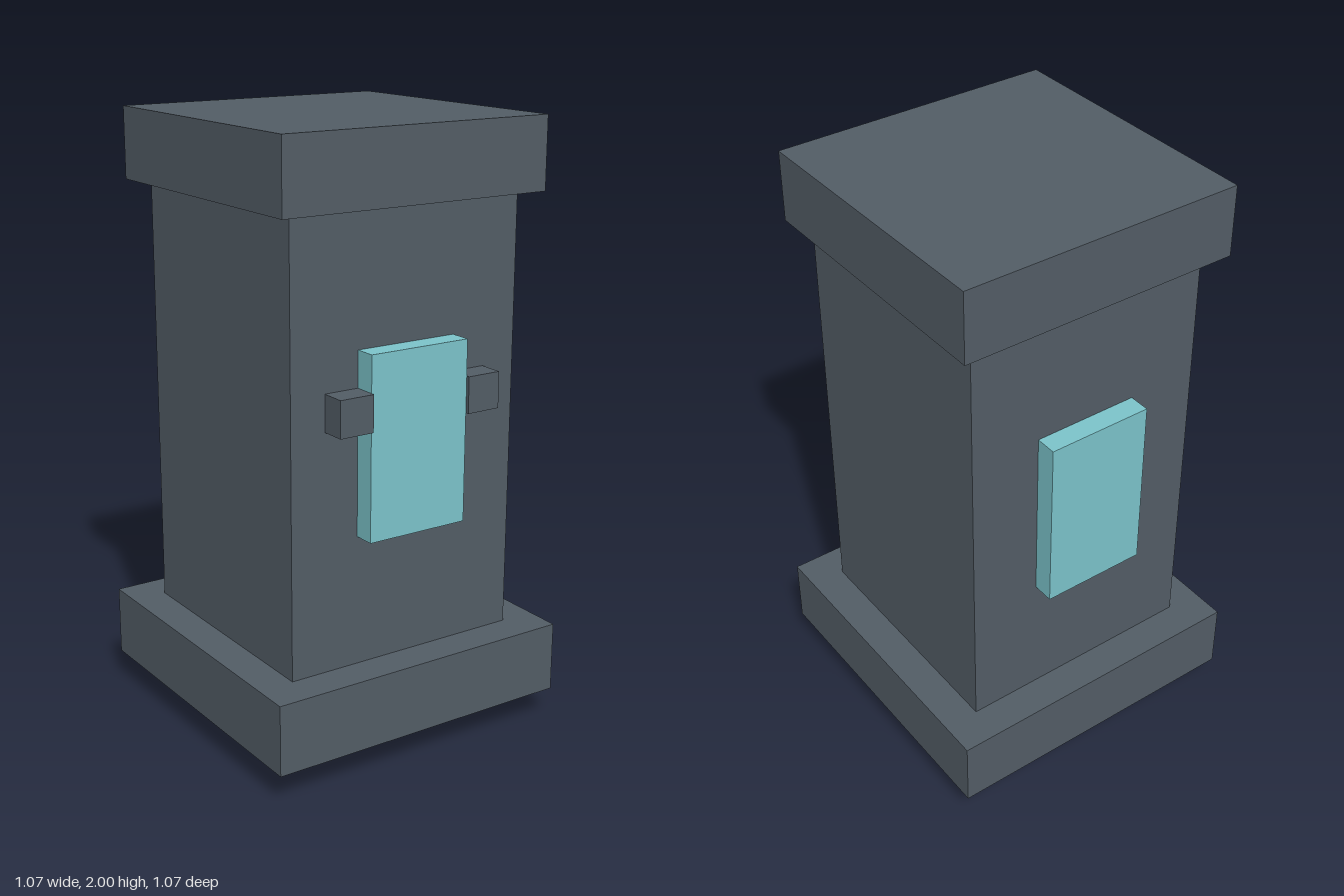
import * as THREE from 'three';

export function createModel() {
  const group = new THREE.Group();
  const slate = new THREE.MeshStandardMaterial({ color: 0x535d66 });
  slate.name = 'slate';
  const glass = new THREE.MeshStandardMaterial({ color: 0x7cc4cb });
  glass.name = 'pale teal glass';

  // Box given by its width, depth, bottom and top heights, and centre in x and z
  function block(name, material, width, depth, bottom, top, x = 0, z = 0) {
    const mesh = new THREE.Mesh(new THREE.BoxGeometry(width, top - bottom, depth), material);
    mesh.position.set(x, (bottom + top) / 2, z);
    mesh.name = name;
    group.add(mesh);
  }

  // Square pillar from the ground up
  block('foot', slate, 0.355, 0.355, 0, 0.1);
  block('base', slate, 1.066, 1.066, 0.1, 0.333);
  block('column', slate, 0.83, 0.83, 0.333, 1.767);
  block('cap', slate, 0.95, 0.95, 1.767, 2);

  // Raised glass panels on the front and back
  block('frontPanel', glass, 0.355, 0.072, 0.757, 1.345, 0, 0.45);
  block('backPanel', glass, 0.355, 0.072, 0.757, 1.345, 0, -0.45);

  // Small brackets either side of the front panel
  for (const [name, side] of [['leftBracket', 1], ['rightBracket', -1]]) {
    block(name, slate, 0.118, 0.085, 1.11, 1.228, side * 0.2365, 0.4555);
  }
  return group;
}
